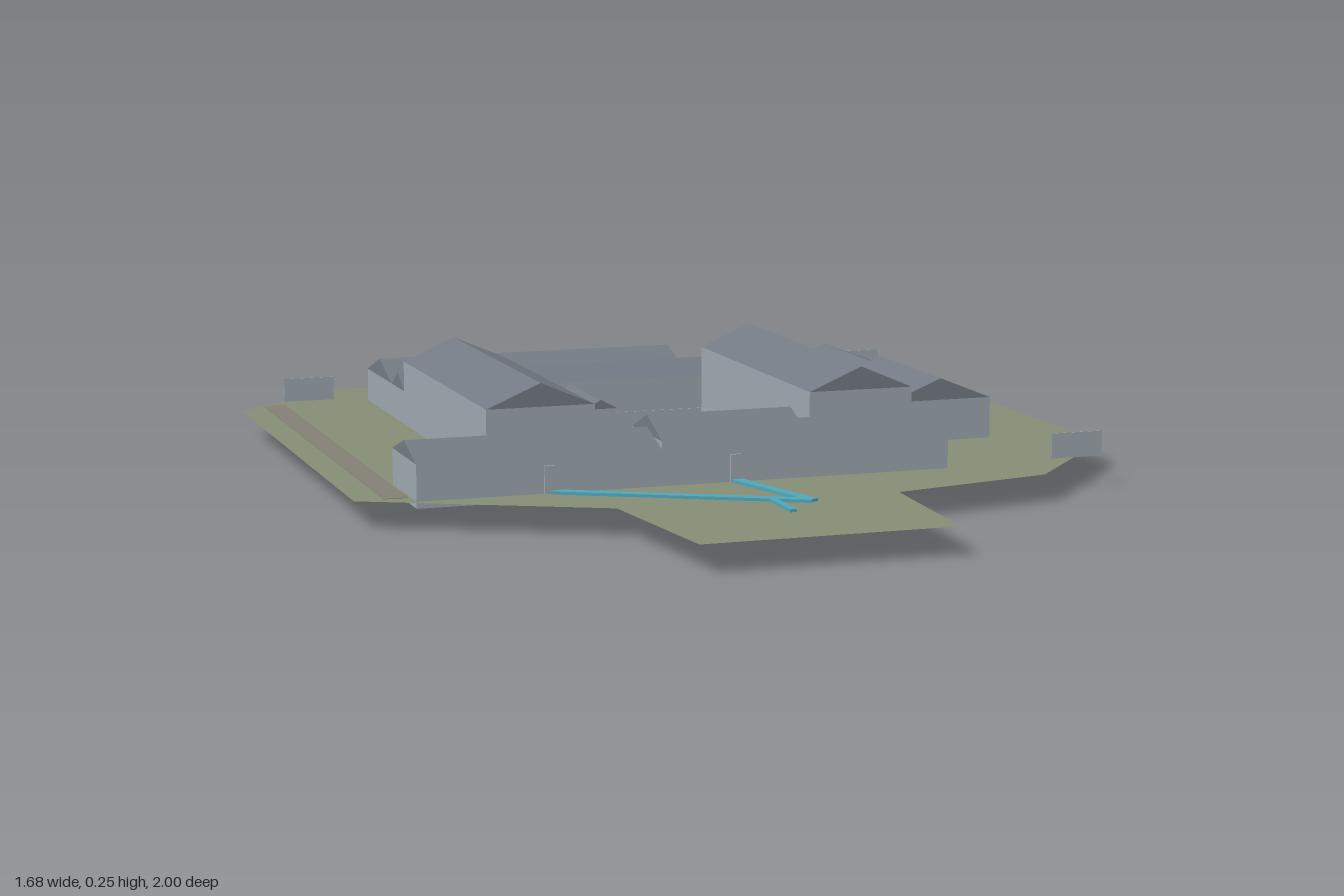
import * as THREE from 'three';

const mat = (name, color, side = THREE.FrontSide) => {
  const m = new THREE.MeshStandardMaterial({ color, side });
  m.name = name;
  return m;
};

export function createModel() {
  const group = new THREE.Group();
  const wall = mat('wall grey', 0x9ca7af, THREE.DoubleSide);
  const roof = mat('roof slate', 0x737a83);
  const grass = mat('grass green', 0x858d74, THREE.DoubleSide);
  const bank = mat('bank grey', 0x827f74);
  const water = mat('path teal', 0x4fa5b8);
  const GROUND = 0.056, BASE = 0.05;

  const add = (name, geometry, material, parent = group) => {
    const mesh = new THREE.Mesh(geometry, material);
    mesh.name = name;
    parent.add(mesh);
    return mesh;
  };
  // box given by its limits on each axis
  const block = (name, x0, x1, y0, y1, z0, z1, material, parent) => {
    const mesh = add(name, new THREE.BoxGeometry(x1 - x0, y1 - y0, z1 - z0), material, parent);
    mesh.position.set((x0 + x1) / 2, (y0 + y1) / 2, (z0 + z1) / 2);
    return mesh;
  };
  // walls with a gabled roof; the ridge runs along the chosen axis
  const building = (name, x0, x1, z0, z1, eave, ridge, axis, base = BASE) => {
    const house = new THREE.Group();
    house.name = name;
    group.add(house);
    block(name + 'Walls', x0, x1, base, eave, z0, z1, wall, house);
    const alongX = axis === 'x';
    const span = alongX ? z1 - z0 : x1 - x0;
    const length = alongX ? x1 - x0 : z1 - z0;
    const gable = new THREE.Shape();
    gable.moveTo(-span / 2, 0);
    gable.lineTo(span / 2, 0);
    gable.lineTo(0, ridge - eave);
    gable.closePath();
    const geometry = new THREE.ExtrudeGeometry(gable, { depth: length, bevelEnabled: false });
    geometry.translate(0, 0, -length / 2);
    if (alongX) geometry.rotateY(Math.PI / 2);
    add(name + 'Roof', geometry, roof, house).position.set((x0 + x1) / 2, eave, (z0 + z1) / 2);
  };

  // ground sheet with an opening for the sunken court (shape y is -z)
  const outline = [
    [-0.58, -1], [0.455, -1], [0.82, -0.655], [0.84, 0.24], [0.555, 0.565], [0.2, 0.645],
    [0.18, 1], [-0.34, 1], [-0.38, 0.625], [-0.845, 0.39], [-0.845, -0.75],
  ];
  const pit = { x0: -0.187, x1: 0.165, z0: -0.46, z1: -0.07 };
  const toPoints = (list) => list.map(([x, z]) => new THREE.Vector2(x, -z));
  const land = new THREE.Shape(toPoints(outline));
  land.holes.push(new THREE.Path(toPoints([
    [pit.x0, pit.z0], [pit.x1, pit.z0], [pit.x1, pit.z1], [pit.x0, pit.z1],
  ])));
  const sheet = new THREE.ShapeGeometry(land);
  sheet.rotateX(-Math.PI / 2);
  add('ground', sheet, grass).position.y = GROUND;

  // worn bank along the left of the plan
  block('bank', -0.785, -0.735, GROUND - 0.001, GROUND + 0.001, -0.8, 0.39, bank);

  // sunken court: floor and four retaining walls
  const t = 0.002;
  block('courtFloor', pit.x0, pit.x1, 0, 0.004, pit.z0, pit.z1, wall);
  block('courtWallLeft', pit.x0, pit.x0 + t, 0, GROUND, pit.z0, pit.z1, wall);
  block('courtWallRight', pit.x1 - t, pit.x1, 0, GROUND, pit.z0, pit.z1, wall);
  block('courtWallBack', pit.x0, pit.x1, 0, GROUND, pit.z0, pit.z0 + t, wall);
  block('courtWallFront', pit.x0, pit.x1, 0, GROUND, pit.z1 - t, pit.z1, wall);

  // halls around the court
  building('backHall', -0.535, 0.162, -0.815, -0.576, 0.13, 0.17, 'x');
  building('backLink', -0.535, 0.393, -0.576, -0.46, 0.13, 0.165, 'x');
  building('westHall', -0.535, -0.305, -0.46, 0.238, 0.197, 0.246, 'z');
  building('eastHall', 0.165, 0.395, -0.46, 0.238, 0.197, 0.246, 'z');
  building('annexBack', 0.395, 0.628, -0.576, -0.225, 0.13, 0.172, 'z');
  building('annexFront', 0.395, 0.628, -0.225, 0.122, 0.145, 0.192, 'z');
  building('frontWingLeft', -0.73, -0.225, 0.238, 0.435, 0.13, 0.162, 'x', 0.042);
  building('gatehouse', -0.225, 0.085, 0.238, 0.435, 0.147, 0.186, 'x');
  building('frontWingRight', 0.085, 0.395, 0.238, 0.435, 0.13, 0.162, 'x');
  building('stairPorch', -0.185, -0.11, -0.46, -0.23, 0.105, 0.125, 'z', 0.004);

  // doors
  for (const x of [-0.46, -0.07]) {
    block('door', x - 0.011, x + 0.011, GROUND, 0.113, 0.434, 0.44, wall);
  }

  // upright boundary panels
  for (const [x, z] of [[-0.675, -0.815], [0.688, -0.815], [0.688, 0.433]]) {
    block('boundaryPanel', x - 0.058, x + 0.058, 0.062, 0.115, z - 0.001, z + 0.001, wall);
  }

  // teal paths, each a flat strip between two points
  const path = (x0, z0, x1, z1, width) => {
    const length = Math.hypot(x1 - x0, z1 - z0);
    const strip = add('path', new THREE.BoxGeometry(width, 0.006, length), water);
    strip.position.set((x0 + x1) / 2, GROUND + 0.003, (z0 + z1) / 2);
    strip.rotation.y = Math.atan2(x1 - x0, z1 - z0);
  };
  path(-0.07, -0.07, -0.07, 0.238, 0.018);
  path(-0.068, 0.435, 0.002, 0.685, 0.024);
  path(-0.455, 0.435, 0.002, 0.685, 0.024);
  path(-0.07, 0.63, -0.07, 0.77, 0.014);

  return group;
}
